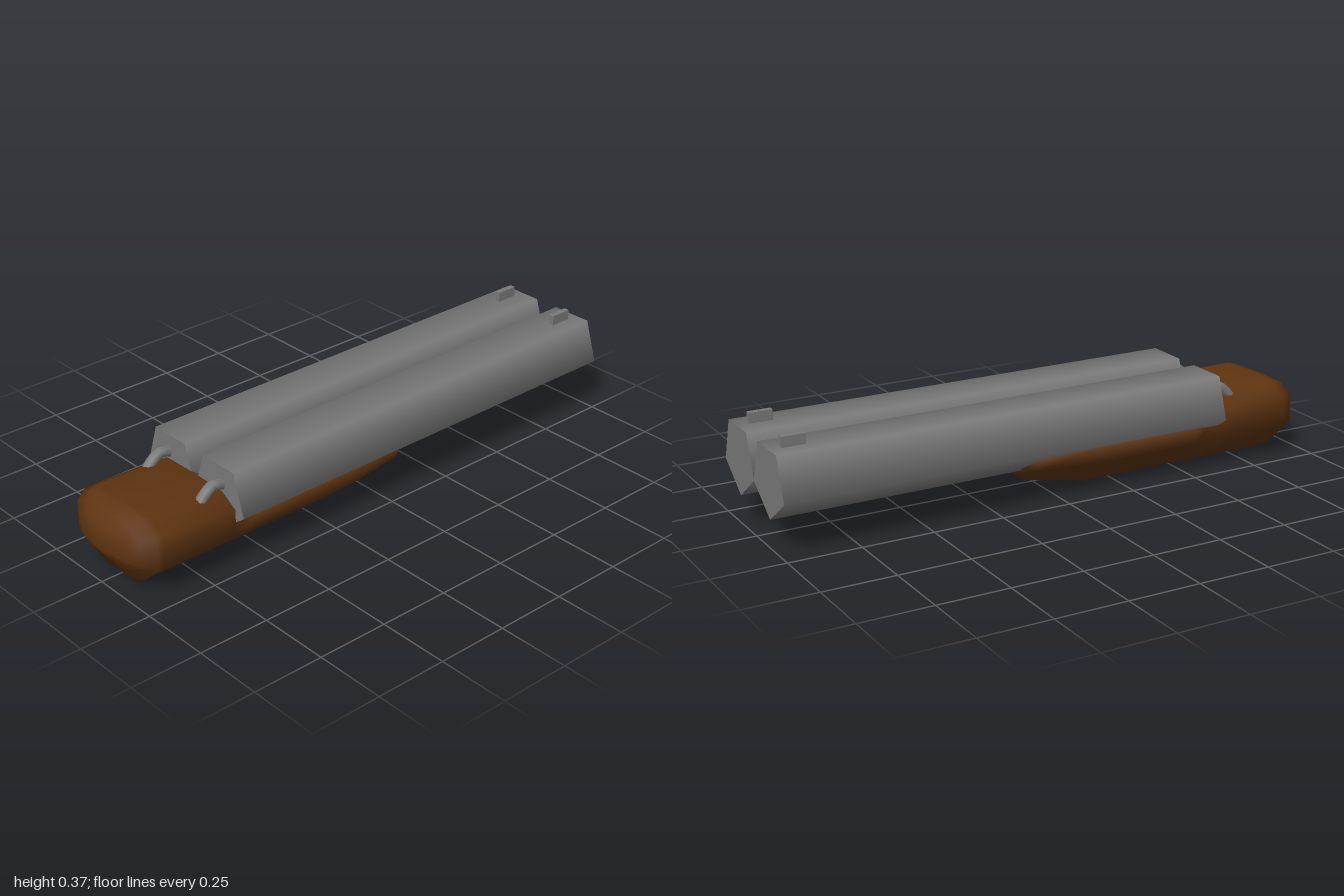
import * as THREE from 'three';

const steel = new THREE.MeshStandardMaterial({ color: 0x7a7a7a });
steel.name = 'steel grey';
const wood = new THREE.MeshStandardMaterial({ color: 0x5e3410 });
wood.name = 'brown wood';

function add(parent, name, geometry, material) {
  const mesh = new THREE.Mesh(geometry, material);
  mesh.name = name;
  parent.add(mesh);
  return mesh;
}

// Smooth loft along x through mirrored cross-sections.
// Section: [x, bottomY, bottomHalf, lowerY, lowerHalf, upperY, upperHalf, shoulderY, shoulderHalf, topY]
function loft(sections) {
  const positions = [];
  const index = [];
  for (const [x, y0, z0, y1, z1, y2, z2, y3, z3, top] of sections) {
    const half = [[y0, z0], [y1, z1], [y2, z2], [y3, z3]];
    const ring = [[y0, 0], ...half, [top, 0], ...half.map(([y, z]) => [y, -z]).reverse()];
    for (const [y, z] of ring) positions.push(x, y, z);
  }
  const n = 10;
  const last = (sections.length - 1) * n;
  for (let i = 0; i < sections.length - 1; i++) {
    for (let j = 0; j < n; j++) {
      const a = i * n + j, b = i * n + (j + 1) % n;
      index.push(a, a + n, b + n, a, b + n, b);
    }
  }
  for (let j = 1; j < n - 1; j++) {
    index.push(0, j, j + 1);
    index.push(last, last + j + 1, last + j);
  }
  const geometry = new THREE.BufferGeometry();
  geometry.setAttribute('position', new THREE.Float32BufferAttribute(positions, 3));
  geometry.setIndex(index);
  geometry.computeVertexNormals();
  return geometry;
}

export function createModel() {
  const model = new THREE.Group();
  model.name = 'twinBarrels';

  // Rounded wooden stock, cut lower where the barrels rest
  add(model, 'stock', loft([
    [-1.00, 0.120, 0.050, 0.135, 0.080, 0.170, 0.080, 0.182, 0.050, 0.183],
    [-0.985, 0.095, 0.060, 0.125, 0.125, 0.190, 0.125, 0.205, 0.080, 0.207],
    [-0.96, 0.060, 0.070, 0.115, 0.170, 0.205, 0.165, 0.234, 0.110, 0.237],
    [-0.92, 0.000, 0.080, 0.107, 0.198, 0.212, 0.193, 0.248, 0.130, 0.251],
    [-0.90, 0.000, 0.082, 0.105, 0.205, 0.215, 0.200, 0.250, 0.140, 0.255],
    [-0.63, 0.000, 0.082, 0.105, 0.205, 0.205, 0.203, 0.244, 0.140, 0.248],
    [-0.53, 0.000, 0.082, 0.105, 0.205, 0.165, 0.215, 0.175, 0.140, 0.180],
    [-0.15, 0.000, 0.082, 0.105, 0.205, 0.165, 0.215, 0.175, 0.140, 0.180],
    [0.08, 0.045, 0.080, 0.105, 0.175, 0.157, 0.202, 0.170, 0.130, 0.178],
    [0.12, 0.070, 0.075, 0.112, 0.145, 0.152, 0.165, 0.165, 0.110, 0.172],
    [0.145, 0.100, 0.060, 0.125, 0.115, 0.148, 0.130, 0.160, 0.090, 0.165],
  ]), wood);

  for (const side of [1, -1]) {
    const label = side > 0 ? 'left' : 'right';

    // Five-sided barrel with a flat top
    const barrel = new THREE.CylinderGeometry(0.129, 0.129, 1.625, 5, 1, false, Math.PI / 2);
    barrel.rotateZ(-Math.PI / 2);
    add(model, label + 'Barrel', barrel, steel).position.set(0.1875, 0.226, side * 0.1225);

    // Front sight
    add(model, label + 'Sight', new THREE.BoxGeometry(0.08, 0.044, 0.02), steel)
      .position.set(0.919, 0.344, side * 0.133);

    // Curved hammer rising from the stock to the breech
    const path = new THREE.CatmullRomCurve3([
      [-0.725, 0.215], [-0.692, 0.252], [-0.66, 0.274], [-0.62, 0.265],
    ].map(([x, y]) => new THREE.Vector3(x, y, side * 0.137)));
    add(model, label + 'Hammer', new THREE.TubeGeometry(path, 6, 0.019, 8, false), steel);
  }

  return model;
}
